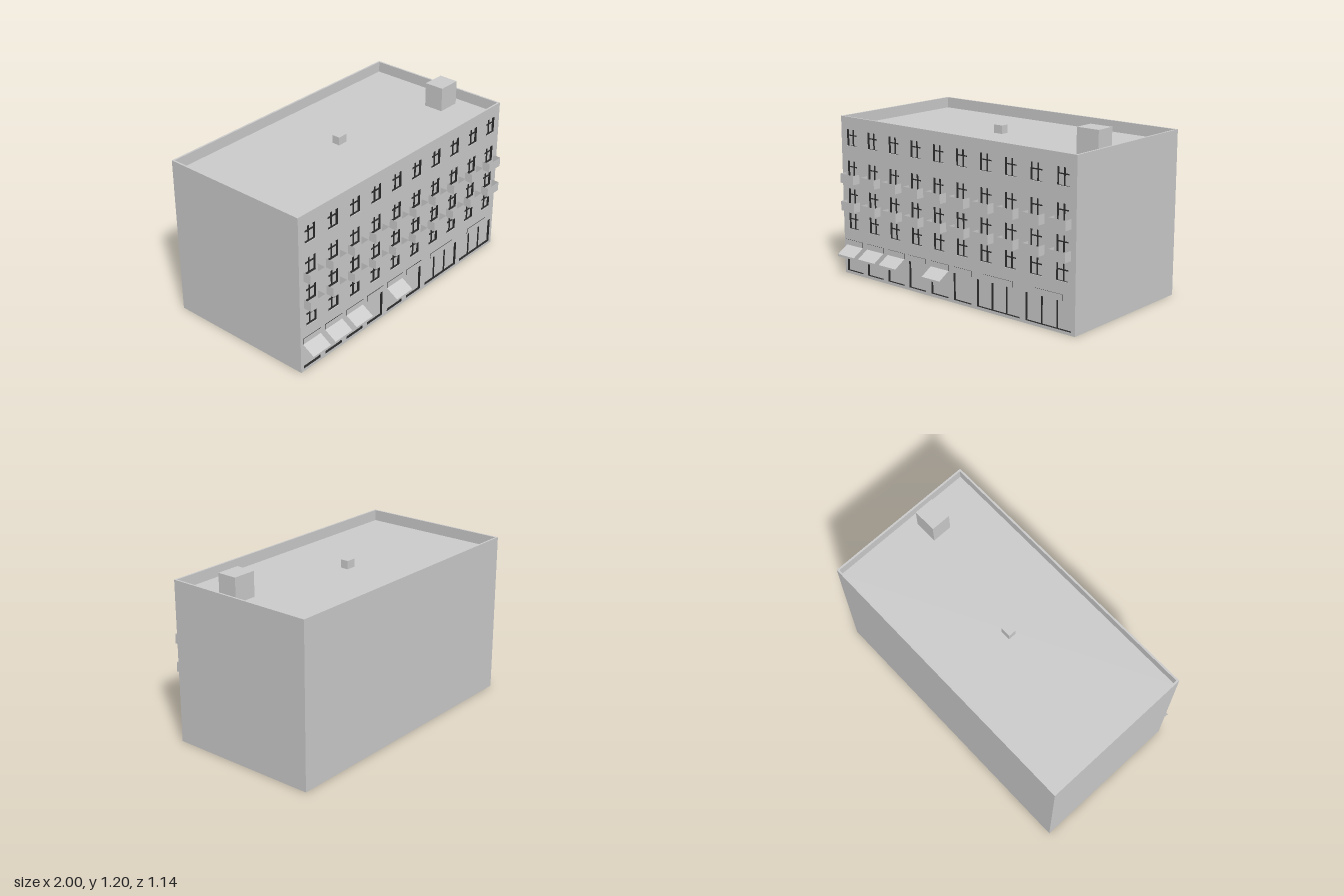
import * as THREE from 'three';

export function createModel() {
  const model = new THREE.Group();
  model.name = 'apartmentBuilding';
  const grey = new THREE.MeshStandardMaterial({ color: 0xcccccc, side: THREE.DoubleSide });
  grey.name = 'plaster grey';
  const dark = new THREE.MeshStandardMaterial({ color: 0x2b2b2b, side: THREE.DoubleSide });
  dark.name = 'frame dark';

  const BACK = -0.572, FRONT = 0.485, TOP = 1.105, ROOF = 1.03, RIM = 0.013, DEPTH = 0.018;
  const D = FRONT - BACK, CZ = (FRONT + BACK) / 2;

  const add = (parent, name, geo, x = 0, y = 0, z = 0, rx = 0, ry = 0, mat = grey) => {
    const m = new THREE.Mesh(geo, mat);
    m.name = name;
    m.position.set(x, y, z);
    m.rotation.set(rx, ry, 0);
    parent.add(m);
    return m;
  };
  const sheet = (parent, name, w, h, x, y, z, rx, ry, mat) =>
    add(parent, name, new THREE.PlaneGeometry(w, h), x, y, z, rx, ry, mat);
  const box = (parent, name, w, h, d, x, y, z, mat) =>
    add(parent, name, new THREE.BoxGeometry(w, h, d), x, y, z, 0, 0, mat);
  const group = (name) => {
    const g = new THREE.Group();
    g.name = name;
    model.add(g);
    return g;
  };
  const rect = (S, x0, y0, x1, y1) => {
    const s = new S();
    s.moveTo(x0, y0).lineTo(x1, y0).lineTo(x1, y1).lineTo(x0, y1).closePath();
    return s;
  };

  const columns = Array.from({ length: 10 }, (_, i) => -0.9 + 0.2 * i);
  const facade = rect(THREE.Shape, -1, 0, 1, TOP);

  // Opening cut in the facade, with dark reveals and a recessed pane
  const opening = (parent, x0, x1, y0, y1) => {
    facade.holes.push(rect(THREE.Path, x0, y0, x1, y1));
    const x = (x0 + x1) / 2, y = (y0 + y1) / 2, w = x1 - x0, h = y1 - y0, z = FRONT - DEPTH / 2;
    sheet(parent, 'pane', w, h, x, y, FRONT - DEPTH, 0, 0);
    sheet(parent, 'sillReveal', w, DEPTH, x, y0, z, -Math.PI / 2, 0, dark);
    sheet(parent, 'headReveal', w, DEPTH, x, y1, z, Math.PI / 2, 0, dark);
    sheet(parent, 'sideReveal', DEPTH, h, x0, y, z, 0, Math.PI / 2, dark);
    sheet(parent, 'sideReveal', DEPTH, h, x1, y, z, 0, -Math.PI / 2, dark);
  };

  // Upper floor windows, each with a cross of dark glazing bars
  const BAR = 0.006, barZ = FRONT - DEPTH + 0.004;
  for (const [y0, y1, sill] of [[0.325, 0.437, true], [0.498, 0.61, false], [0.69, 0.803, false], [0.907, 1.02, true]]) {
    for (const x of columns) {
      const win = group('window');
      opening(win, x - 0.045, x + 0.045, y0, y1);
      box(win, 'verticalBar', BAR, y1 - y0, 0.008, x, (y0 + y1) / 2, barZ, dark);
      box(win, 'crossBar', 0.09, BAR, 0.008, x, y1 - 0.043, barZ, dark);
      if (sill) box(win, 'sill', 0.092, 0.004, 0.005, x, y0, FRONT + 0.002);
    }
  }

  // Shop windows and doors on the ground floor
  for (const x of columns.slice(0, 6)) opening(group('shopWindow'), x - 0.076, x + 0.076, 0.02, 0.202);
  for (const [x0, x1] of [[0.225, 0.573], [0.62, 0.973]]) {
    const shop = group('wideShopWindow');
    opening(shop, x0, x1, 0.02, 0.202);
    for (const t of [1 / 3, 2 / 3])
      box(shop, 'shopBar', BAR, 0.182, 0.008, x0 + (x1 - x0) * t, 0.111, barZ, dark);
  }

  // Blank boards above the shops: plain face, dark edges
  const boards = columns.slice(0, 6).map((x) => [x, 0.16]);
  boards.push([0.4, 0.24], [0.8, 0.21]);
  const boardMaterials = [dark, dark, dark, dark, grey, grey];
  for (const [x, w] of boards)
    box(model, 'shopBoard', w, 0.038, 0.004, x, 0.226, FRONT + 0.002, boardMaterials);

  // Balconies: open-topped trays on two floors
  for (const y0 of [0.463, 0.656]) {
    const h = 0.064, d = 0.057, w = 0.126;
    for (const x of columns) {
      const b = group('balcony');
      sheet(b, 'balconyFront', w, h, x, y0 + h / 2, FRONT + d, 0, 0);
      sheet(b, 'balconyFloor', w, d, x, y0, FRONT + d / 2, -Math.PI / 2, 0);
      for (const s of [-1, 1])
        sheet(b, 'balconySide', d, h, x + s * w / 2, y0 + h / 2, FRONT + d / 2, 0, s * Math.PI / 2);
    }
  }

  // Sloping awnings with a short valance
  const reach = 0.086, drop = 0.051;
  for (const i of [0, 1, 2, 4]) {
    const a = group('awning');
    sheet(a, 'awningCloth', 0.158, Math.hypot(reach, drop), columns[i], 0.205 - drop / 2,
      FRONT + reach / 2, -Math.atan2(reach, drop), 0);
    sheet(a, 'awningValance', 0.158, 0.014, columns[i], 0.147, FRONT + reach, 0, 0);
  }

  // Outer walls, open underneath
  add(model, 'frontWall', new THREE.ShapeGeometry(facade), 0, 0, FRONT);
  sheet(model, 'backWall', 2, TOP, 0, TOP / 2, BACK, 0, Math.PI);
  for (const s of [-1, 1]) sheet(model, 'sideWall', D, TOP, s, TOP / 2, CZ, 0, s * Math.PI / 2);

  // Roof with a thin parapet
  const rim = rect(THREE.Shape, -1, -D / 2, 1, D / 2);
  rim.holes.push(rect(THREE.Path, -1 + RIM, -D / 2 + RIM, 1 - RIM, D / 2 - RIM));
  add(model, 'parapetTop', new THREE.ShapeGeometry(rim), 0, TOP, CZ, -Math.PI / 2);
  const ph = TOP - ROOF, py = (TOP + ROOF) / 2;
  for (const s of [-1, 1]) {
    sheet(model, 'parapetInnerSide', D - 2 * RIM, ph, s * (1 - RIM), py, CZ, 0, -s * Math.PI / 2);
    sheet(model, 'parapetInnerEnd', 2 - 2 * RIM, ph, 0, py, CZ + s * (D / 2 - RIM), 0, s > 0 ? Math.PI : 0);
  }
  sheet(model, 'roof', 2 - 2 * RIM, D - 2 * RIM, 0, ROOF, CZ, -Math.PI / 2, 0);

  // Rooftop boxes
  box(model, 'stairHousing', 0.163, 0.167, 0.138, 0.841, ROOF + 0.0835, 0.107);
  box(model, 'roofVent', 0.07, 0.056, 0.055, -0.034, ROOF + 0.028, -0.046);

  return model;
}
